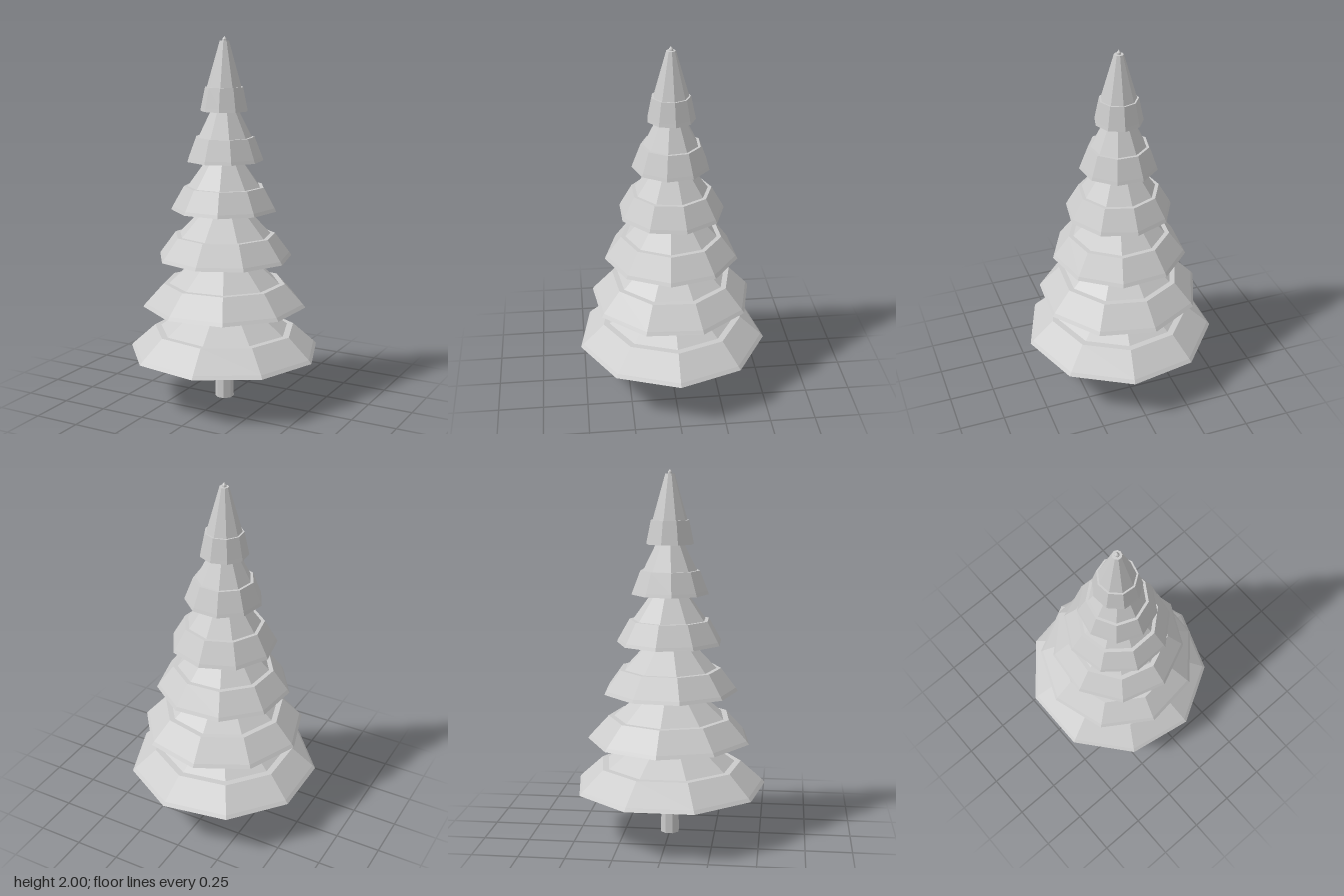
import * as THREE from 'three';

const SIDES = 9;
const AXIS_X = -0.018; // the trunk axis, with the odd-sided skirts centred by bounds

// Faceted lathe around y; the first corner sits at the given angle from +x towards +z
function faceted(profile, sides, angle) {
  const points = profile.map(([r, y]) => new THREE.Vector2(r, y));
  const geometry = new THREE.LatheGeometry(points, sides, Math.PI / 2 - angle).toNonIndexed();
  geometry.computeVertexNormals();
  return geometry;
}

export function createModel() {
  const tree = new THREE.Group();
  tree.name = 'pineTree';
  const grey = new THREE.MeshStandardMaterial({ color: 0xcccccc });
  grey.name = 'lightGrey';

  function add(name, profile, sides, angle) {
    const mesh = new THREE.Mesh(faceted(profile, sides, angle), grey);
    mesh.name = name;
    mesh.position.x = AXIS_X;
    tree.add(mesh);
  }

  // Trunk
  add('trunk', [[0, 0], [0.052, 0], [0.048, 0.3], [0, 0.3]], 8, Math.PI / 8);

  // Six stacked branch skirts, each smaller and twisted a little further
  const topRadius = 0.025;
  for (let i = 0; i < 6; i++) {
    const y = 0.272 + i * 0.2668;
    const r = 0.531 - i * 0.0802;
    const upper = r + (topRadius - r) * 0.34; // upper cone where it leaves the ledge
    add('branchTier' + (i + 1), [
      [0, y],
      [r, y],
      [r * 0.97, y + 0.018], // thin rim
      [upper * 1.1, y + 0.127],
      [upper, y + 0.127], // small ledge
      [topRadius, y + 0.37],
      [0, y + 0.37],
    ], SIDES, i * 0.4);
  }

  // Tip
  add('tip', [[0.013, 1.97], [0.011, 1.985], [0, 2]], 8, Math.PI / 8);

  return tree;
}
